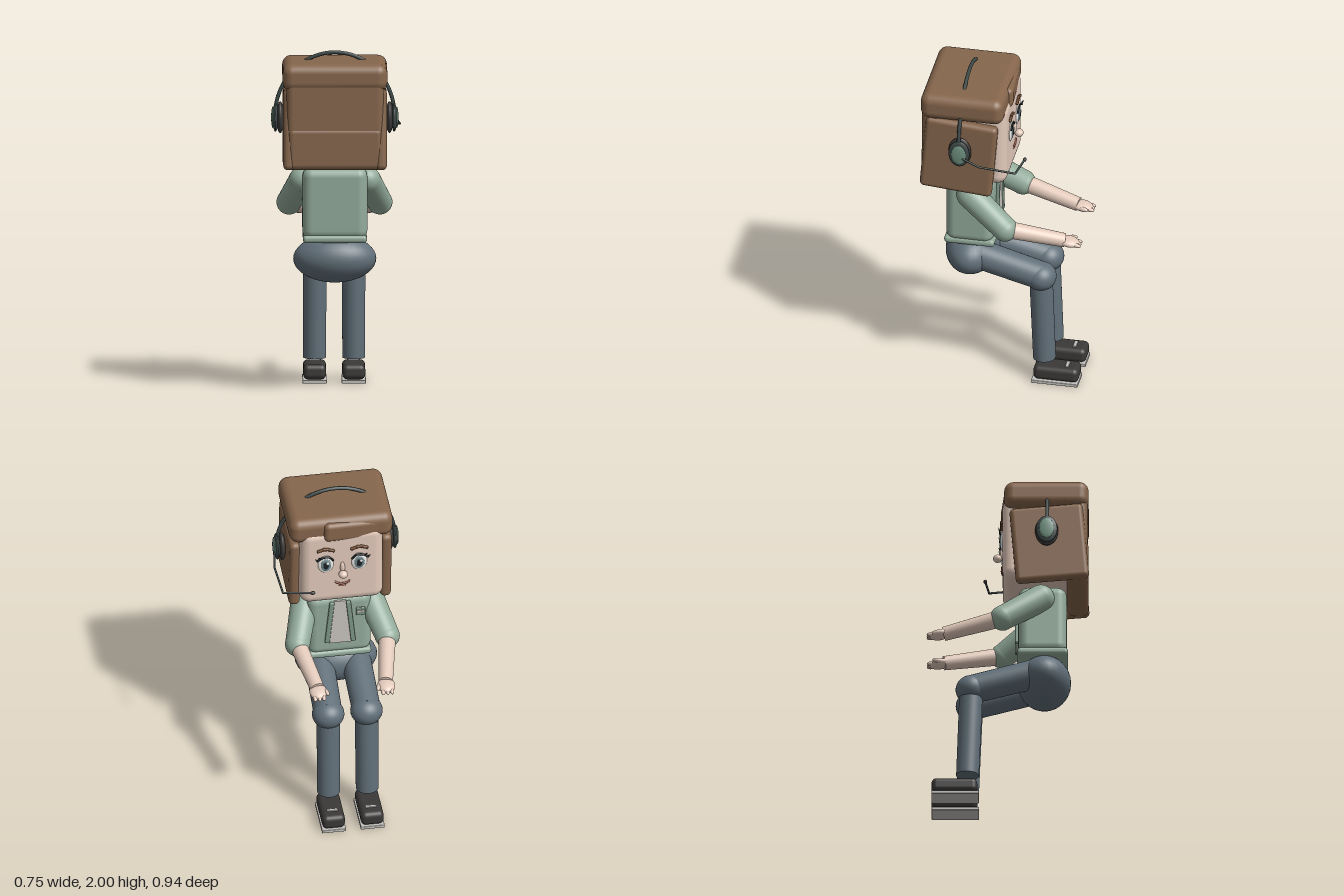
import * as THREE from 'three';
import { RoundedBoxGeometry } from 'three/addons/geometries/RoundedBoxGeometry.js';

const material = (color) => new THREE.MeshStandardMaterial({ color });
const MAT = {
  hair: material(0x86664c), skin: material(0xe3cabb), shirt: material(0x93ab9b),
  trousers: material(0x62707a), dark: material(0x3b3938), phones: material(0x3d4847),
  pad: material(0x6f9080), sole: material(0xc4c2be), white: material(0xf0eeea),
  iris: material(0x6f8890), pupil: material(0x1c2226), brow: material(0x70492f),
  lip: material(0xa0614f), inner: material(0xc9c4be), lapel: material(0x7d9686),
};
const V = (x, y, z) => new THREE.Vector3(x, y, z);
const UP = V(0, 1, 0);

export function createModel() {
  const model = new THREE.Group();
  const body = new THREE.Group();
  body.name = 'seatedFigure';
  body.position.x = -0.008;
  model.add(body);

  const add = (name, geometry, mat, pos = [0, 0, 0], rot = [0, 0, 0]) => {
    const mesh = new THREE.Mesh(geometry, mat);
    mesh.name = name;
    mesh.position.set(...pos);
    mesh.rotation.set(...rot);
    body.add(mesh);
    return mesh;
  };
  const box = (name, size, r, mat, pos, rot) =>
    add(name, new RoundedBoxGeometry(...size, 4, r), mat, pos, rot);
  const ball = (name, radii, mat, pos, rot) => {
    const mesh = add(name, new THREE.SphereGeometry(1, 32, 20), mat, pos, rot);
    mesh.scale.set(...radii);
    return mesh;
  };
  const limb = (name, a, b, ra, rb, mat) => {
    const dir = b.clone().sub(a);
    const mesh = add(name, new THREE.CylinderGeometry(rb, ra, dir.length(), 32), mat);
    mesh.position.copy(a).add(b).multiplyScalar(0.5);
    mesh.quaternion.setFromUnitVectors(UP, dir.normalize());
    return mesh;
  };
  const tube = (name, points, r, mat, n = 20) =>
    add(name, new THREE.TubeGeometry(new THREE.CatmullRomCurve3(points), n, r, 8), mat);

  // Torso, hem, neck and hips
  box('torso', [0.375, 0.42, 0.28], 0.055, MAT.shirt, [0, 1.115, 0.2]);
  box('jacketHem', [0.37, 0.045, 0.295], 0.02, MAT.shirt, [0, 0.912, 0.2]);
  limb('neck', V(0, 1.28, 0.2), V(0, 1.4, 0.2), 0.075, 0.075, MAT.skin);
  ball('hips', [0.24, 0.14, 0.155], MAT.trousers, [0, 0.785, 0.21]);

  // Shirt front, lapels and pocket badge
  const panel = new THREE.Shape([[-0.065, 1.0], [0.065, 1.0], [0.035, 1.3], [-0.035, 1.3]]
    .map((p) => new THREE.Vector2(...p)));
  add('shirtFront', new THREE.ExtrudeGeometry(panel, { depth: 0.012, bevelEnabled: false }),
    MAT.inner, [0, 0, 0.05]);
  for (const s of [-1, 1]) {
    box('lapel', [0.028, 0.29, 0.022], 0.007, MAT.lapel, [s * 0.062, 1.15, 0.052], [0, 0, s * 0.1]);
  }
  box('badge', [0.055, 0.055, 0.012], 0.005, MAT.lapel, [-0.12, 1.21, 0.057]);
  box('badgeStripe', [0.038, 0.012, 0.006], 0.002, MAT.inner, [-0.12, 1.215, 0.05]);

  for (const s of [-1, 1]) {
    // Bent leg with shoe
    limb('thigh', V(s * 0.108, 0.79, 0.14), V(s * 0.112, 0.695, -0.21), 0.086, 0.083, MAT.trousers);
    ball('thighTop', [0.088, 0.088, 0.088], MAT.trousers, [s * 0.108, 0.785, 0.14]);
    ball('knee', [0.094, 0.084, 0.09], MAT.trousers, [s * 0.112, 0.692, -0.212]);
    limb('shin', V(s * 0.112, 0.69, -0.212), V(s * 0.113, 0.145, -0.233), 0.068, 0.066, MAT.trousers);
    box('shoe', [0.133, 0.088, 0.265], 0.03, MAT.dark, [s * 0.113, 0.064, -0.309]);
    box('sole', [0.14, 0.02, 0.275], 0.004, MAT.sole, [s * 0.113, 0.01, -0.304]);
    box('shoeStrap', [0.064, 0.012, 0.02], 0.003, MAT.sole, [s * 0.113, 0.108, -0.37]);

    // Arm reaching forward
    const shoulder = V(s * 0.185, 1.24, 0.19);
    const elbow = V(s * 0.262, 1.08, -0.03);
    const wrist = V(s * 0.2, 1.008, -0.37);
    ball('shoulder', [0.08, 0.08, 0.08], MAT.shirt, shoulder.toArray());
    limb('sleeve', shoulder, elbow, 0.08, 0.072, MAT.shirt);
    ball('elbow', [0.073, 0.073, 0.073], MAT.shirt, elbow.toArray());
    limb('forearm', elbow, wrist, 0.051, 0.041, MAT.skin);
    ball('palm', [0.051, 0.026, 0.062], MAT.skin, [s * 0.199, 1.003, -0.395], [-0.15, 0, 0]);
    for (const i of [-1, 0, 1]) {
      ball('finger', [0.0135, 0.013, 0.033], MAT.skin, [s * 0.199 + i * 0.024, 0.996, -0.436], [-0.15, -i * 0.1, 0]);
    }
    ball('thumb', [0.014, 0.014, 0.033], MAT.skin, [s * 0.154, 1.005, -0.405], [0, s * 0.3, 0]);
  }

  // Head and hair blocks
  box('head', [0.49, 0.52, 0.42], 0.06, MAT.skin, [0, 1.612, 0.18]);
  box('hairTop', [0.605, 0.16, 0.488], 0.055, MAT.hair, [0, 1.867, 0.223]);
  box('hairBack', [0.565, 0.38, 0.12], 0.04, MAT.hair, [0, 1.7, 0.401]);
  box('hairBackLower', [0.55, 0.25, 0.125], 0.035, MAT.hair, [0, 1.455, 0.403]);
  box('fringe', [0.335, 0.125, 0.07], 0.03, MAT.hair, [-0.06, 1.858, 0.003], [0, 0.07, 0.04]);
  for (const s of [-1, 1]) {
    box('hairSide', [0.065, 0.47, 0.425], 0.028, MAT.hair, [s * 0.267, 1.55, 0.24], [-0.085, 0, 0]);
  }

  // Face
  for (const s of [-1, 1]) {
    const x = s * 0.098;
    ball('eyeWhite', [0.046, 0.06, 0.012], MAT.white, [x, 1.645, -0.031]);
    ball('iris', [0.03, 0.042, 0.008], MAT.iris, [x, 1.643, -0.039]);
    ball('pupil', [0.017, 0.026, 0.006], MAT.pupil, [x, 1.643, -0.044]);
    ball('eyeGlint', [0.008, 0.01, 0.004], MAT.white, [x - 0.009, 1.66, -0.049]);
    tube('upperLash', [V(x - s * 0.044, 1.672, -0.04), V(x - s * 0.02, 1.7, -0.044),
      V(x + s * 0.02, 1.7, -0.044), V(x + s * 0.054, 1.68, -0.046)], 0.006, MAT.pupil);
    for (const k of [0, 1]) {
      limb('lash', V(x + s * (0.03 + k * 0.016), 1.695 - k * 0.012, -0.045),
        V(x + s * (0.043 + k * 0.018), 1.712 - k * 0.012, -0.054), 0.004, 0.002, MAT.pupil);
    }
    for (const [dx, dy, tilt] of [[-0.032, -0.006, 0.3], [0, 0.003, 0.05], [0.032, -0.004, -0.3]]) {
      box('eyebrow', [0.04, 0.017, 0.016], 0.006, MAT.brow,
        [x + s * dx, 1.752 + dy, -0.037], [0, 0, s * tilt]);
    }
  }
  ball('noseBridge', [0.014, 0.04, 0.014], MAT.skin, [0, 1.61, -0.033]);
  ball('noseTip', [0.027, 0.023, 0.026], MAT.skin, [0, 1.58, -0.06]);
  tube('mouth', [V(-0.045, 1.512, -0.032), V(-0.02, 1.499, -0.035), V(0.02, 1.499, -0.035),
    V(0.045, 1.512, -0.032)], 0.006, MAT.lip);
  ball('lowerLip', [0.022, 0.007, 0.006], MAT.lip, [0, 1.482, -0.031]);

  // Headphones: band, cups and microphone boom
  const arc = [];
  for (let i = 0; i <= 16; i++) {
    const a = Math.PI * i / 16;
    arc.push(V(0.345 * Math.cos(a), 1.62 + 0.369 * Math.sin(a), 0.228));
  }
  tube('headband', arc, 0.011, MAT.phones, 48);
  for (const s of [-1, 1]) {
    ball('earCushion', [0.022, 0.092, 0.067], MAT.dark, [s * 0.316, 1.61, 0.225]);
    ball('earCup', [0.017, 0.084, 0.062], MAT.phones, [s * 0.343, 1.61, 0.225]);
    ball('earPlate', [0.01, 0.062, 0.043], MAT.pad, [s * 0.358, 1.61, 0.225]);
  }
  const boom = [V(0.362, 1.59, 0.2), V(0.377, 1.555, 0.1), V(0.36, 1.527, -0.11), V(0.19, 1.522, -0.132)];
  for (let i = 0; i < 3; i++) {
    limb('microphoneBoom', boom[i], boom[i + 1], 0.006, 0.006, MAT.phones);
    ball('boomJoint', [0.006, 0.006, 0.006], MAT.phones, boom[i].toArray());
  }
  ball('microphone', [0.016, 0.011, 0.011], MAT.dark, boom[3].toArray());

  return model;
}
